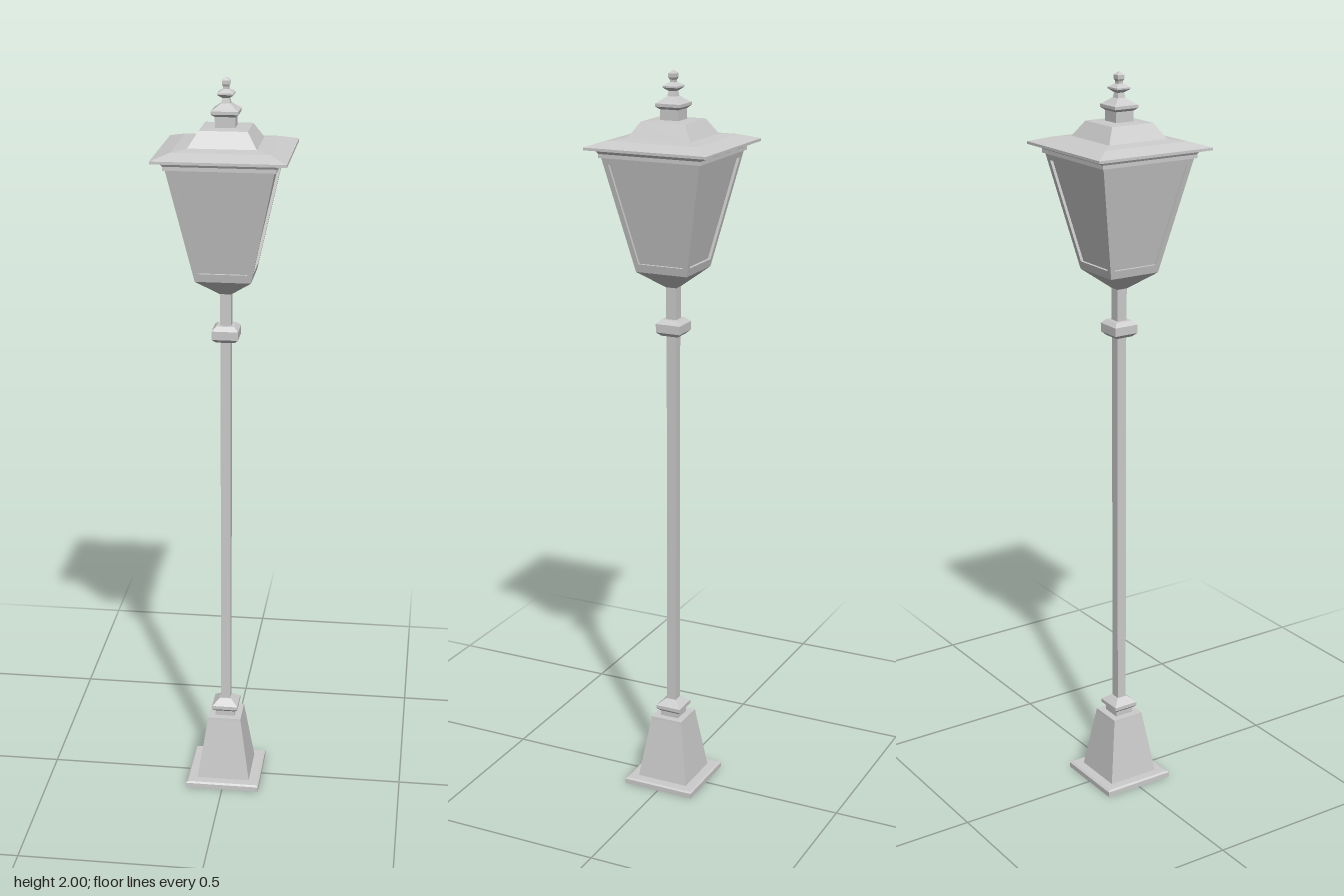
import * as THREE from 'three';

const material = new THREE.MeshStandardMaterial({ color: 0xcccccc, flatShading: true });

// Square solid from [half width, height] pairs, listed from bottom to top
function squareLathe(name, profile) {
  const points = profile.map(([half, y]) => new THREE.Vector2(half * Math.SQRT2, y));
  const geometry = new THREE.LatheGeometry(points, 4, Math.PI / 4).toNonIndexed();
  geometry.computeVertexNormals();
  const mesh = new THREE.Mesh(geometry, material);
  mesh.name = name;
  return mesh;
}

// One sloping lantern side: raised frame around a recessed pane
function lanternSide() {
  const y0 = 1.485, y1 = 1.79;
  const half = y => THREE.MathUtils.lerp(0.073, 0.138, (y - y0) / (y1 - y0));
  const ring = (border, bottom, top, depth) =>
    [[-1, bottom], [1, bottom], [1, top], [-1, top]].map(([s, y]) =>
      [s * (half(y) - border), y, half(y) - depth]);
  const rings = [
    ring(0, y0, y1, 0),
    ring(0.014, y0 + 0.022, y1 - 0.02, 0),
    ring(0.014, y0 + 0.022, y1 - 0.02, 0.008),
  ];
  const positions = [];
  const quad = (a, b, c, d) => positions.push(...a, ...b, ...c, ...a, ...c, ...d);
  for (let k = 0; k < 2; k++) {
    for (let i = 0; i < 4; i++) {
      const j = (i + 1) % 4;
      quad(rings[k][i], rings[k][j], rings[k + 1][j], rings[k + 1][i]);
    }
  }
  quad(...rings[2]);
  const geometry = new THREE.BufferGeometry();
  geometry.setAttribute('position', new THREE.Float32BufferAttribute(positions, 3));
  geometry.computeVertexNormals();
  return geometry;
}

export function createModel() {
  const model = new THREE.Group();
  model.name = 'streetLamp';

  // Foot and post
  model.add(
    squareLathe('basePlate', [[0, 0], [0.103, 0], [0.103, 0.014], [0.098, 0.018], [0, 0.018]]),
    squareLathe('pedestal', [[0.074, 0.016], [0.047, 0.19], [0.046, 0.198], [0, 0.198]]),
    squareLathe('lowerCollar', [[0.027, 0.195], [0.027, 0.212], [0.036, 0.22],
      [0.036, 0.23], [0.016, 0.247], [0, 0.247]]),
    squareLathe('post', [[0.0135, 0.24], [0.0135, 1.32]]),
    squareLathe('upperCollar', [[0, 1.308], [0.024, 1.308], [0.035, 1.318], [0.035, 1.341],
      [0.024, 1.352], [0, 1.352]]),
    squareLathe('lanternStem', [[0.0145, 1.35], [0.0145, 1.45]]),
  );

  // Lantern body
  model.add(squareLathe('lanternBottom', [[0, 1.438], [0.015, 1.438], [0.073, 1.485]]));
  const sideGeometry = lanternSide();
  for (let i = 0; i < 4; i++) {
    const side = new THREE.Mesh(sideGeometry, material);
    side.name = 'lanternSide';
    side.rotation.y = i * Math.PI / 2;
    model.add(side);
  }

  // Roof and finial
  model.add(
    squareLathe('cornice', [[0.138, 1.787], [0.143, 1.787], [0.143, 1.797], [0.15, 1.808]]),
    squareLathe('roof', [[0.138, 1.808], [0.171, 1.808], [0.171, 1.815],
      [0.125, 1.829], [0.088, 1.833]]),
    squareLathe('roofCap', [[0.09, 1.83], [0.062, 1.873], [0, 1.876]]),
    squareLathe('finialBase', [[0.026, 1.872], [0.026, 1.902], [0.035, 1.909],
      [0.035, 1.917], [0.027, 1.922], [0.012, 1.934]]),
    squareLathe('finial', [[0.012, 1.932], [0.009, 1.947], [0.021, 1.956], [0.021, 1.96],
      [0.007, 1.969], [0.007, 1.975], [0.01, 1.981], [0.01, 1.991], [0, 2]]),
  );
  return model;
}
